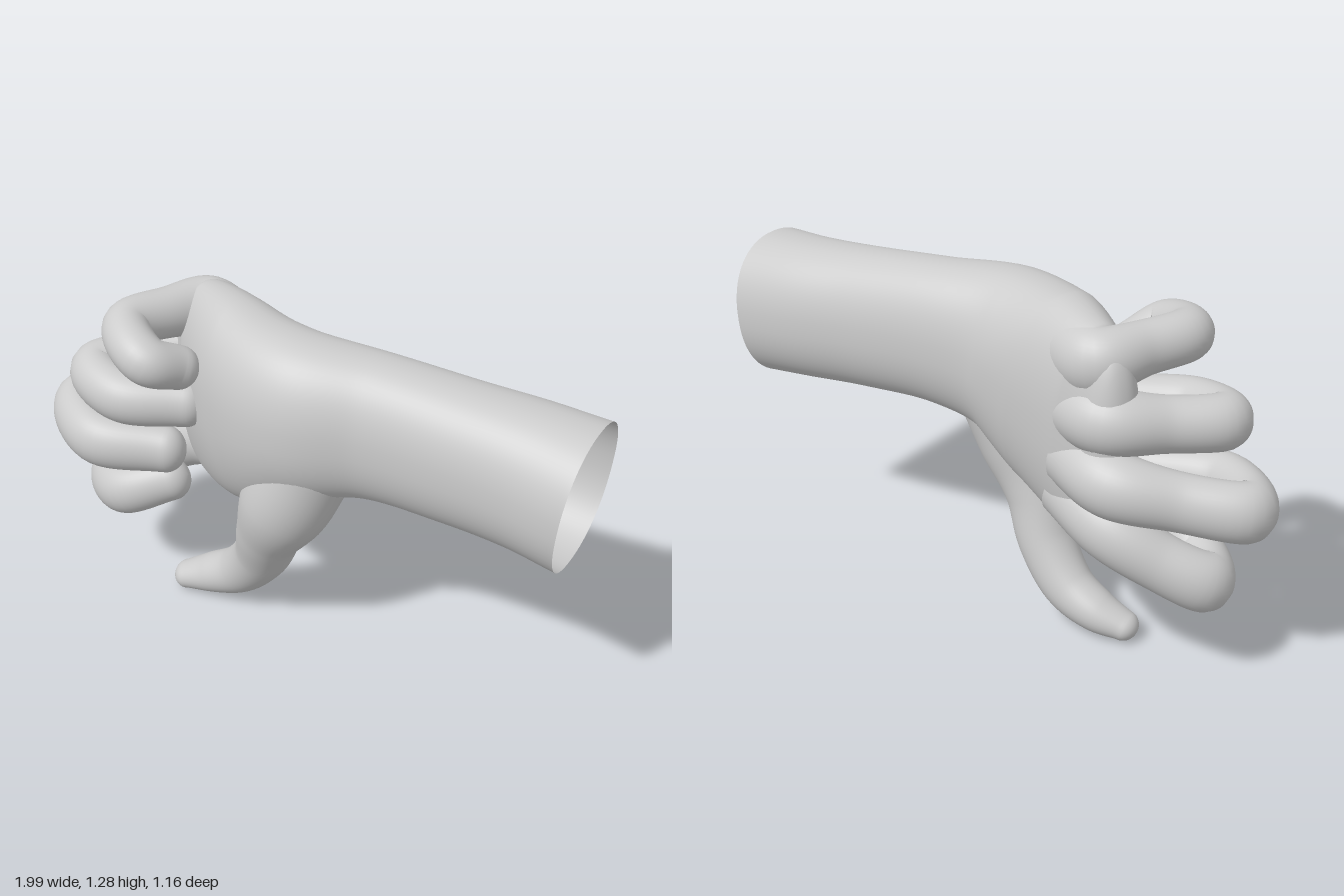
import * as THREE from 'three';

const material = new THREE.MeshStandardMaterial({ color: 0xcccccc, side: THREE.DoubleSide });

// Sweeps a rounded section along a smooth path and closes the far end with a dome.
// Each stop is [x, y, z, radius across, radius along ref]; squareness < 1 gives a boxier section.
function limb(name, stops, ref, { steps = 48, sides = 40, squareness = 1 } = {}) {
  const path = new THREE.CatmullRomCurve3(stops.map(s => new THREE.Vector3(s[0], s[1], s[2])));
  const size = new THREE.CatmullRomCurve3(
    stops.map(s => new THREE.Vector3(s[3], s[4], 0)), false, 'catmullrom', 0.5);
  const positions = [];
  const indices = [];
  const soften = v => Math.sign(v) * Math.abs(v) ** squareness;

  const addRing = (t, capAngle) => {
    const tangent = path.getTangent(t);
    const side = tangent.clone().cross(ref).normalize();
    const up = side.clone().cross(tangent);
    const radius = size.getPoint(t);
    const shrink = Math.cos(capAngle);
    const dome = Math.min(radius.x, radius.y) * Math.sin(capAngle);
    const centre = path.getPoint(t).addScaledVector(tangent, dome);
    for (let j = 0; j < sides; j++) {
      const a = (j / sides) * Math.PI * 2;
      const p = centre.clone()
        .addScaledVector(side, soften(Math.cos(a)) * radius.x * shrink)
        .addScaledVector(up, soften(Math.sin(a)) * radius.y * shrink);
      positions.push(p.x, p.y, p.z);
    }
  };

  const capRings = 8;
  for (let i = 0; i <= steps; i++) addRing(i / steps, 0);
  for (let k = 1; k <= capRings; k++) addRing(1, (k / capRings) * Math.PI * 0.499);

  for (let i = 0; i < steps + capRings; i++) {
    for (let j = 0; j < sides; j++) {
      const n = (j + 1) % sides;
      const a = i * sides + j, b = a + sides;
      const d = i * sides + n, c = d + sides;
      indices.push(a, b, d, b, c, d);
    }
  }

  const geometry = new THREE.BufferGeometry();
  geometry.setAttribute('position', new THREE.Float32BufferAttribute(positions, 3));
  geometry.setIndex(indices);
  geometry.computeVertexNormals();
  const mesh = new THREE.Mesh(geometry, material);
  mesh.name = name;
  return mesh;
}

export function createModel() {
  const hand = new THREE.Group();
  hand.name = 'hand';
  const up = new THREE.Vector3(0, 1, 0);
  const forward = new THREE.Vector3(0, 0, 1);

  // Open forearm flowing through the wrist into the palm
  hand.add(limb('forearmAndPalm', [
    [0.89, 0.915, 0.37, 0.228, 0.265],
    [0.72, 0.935, 0.285, 0.21, 0.258],
    [0.50, 0.957, 0.20, 0.192, 0.256],
    [0.20, 0.98, 0.09, 0.185, 0.266],
    [-0.05, 0.965, 0.01, 0.213, 0.31],
    [-0.22, 0.915, -0.13, 0.20, 0.38],
    [-0.37, 0.875, -0.32, 0.15, 0.395],
    [-0.44, 0.87, -0.40, 0.10, 0.35],
  ], up, { steps: 80, sides: 64, squareness: 0.9 }));

  // Curled fingers: inside the palm, knuckle, mid bone, middle joint, end joint, tip
  const fingers = {
    littleFinger: [
      [-0.28, 1.13, -0.26, 0.10, 0.12],
      [-0.40, 1.15, -0.37, 0.10, 0.115],
      [-0.53, 1.17, -0.29, 0.082, 0.092],
      [-0.655, 1.175, -0.17, 0.085, 0.088],
      [-0.57, 1.13, -0.025, 0.085, 0.085],
      [-0.47, 1.08, -0.07, 0.072, 0.078],
    ],
    ringFinger: [
      [-0.30, 0.96, -0.30, 0.11, 0.12],
      [-0.44, 0.97, -0.42, 0.11, 0.115],
      [-0.62, 0.95, -0.37, 0.09, 0.095],
      [-0.80, 0.935, -0.28, 0.09, 0.097],
      [-0.69, 0.91, -0.15, 0.09, 0.097],
      [-0.46, 0.90, -0.13, 0.075, 0.088],
    ],
    middleFinger: [
      [-0.32, 0.79, -0.33, 0.11, 0.12],
      [-0.47, 0.77, -0.47, 0.11, 0.115],
      [-0.68, 0.73, -0.47, 0.088, 0.10],
      [-0.905, 0.70, -0.435, 0.088, 0.105],
      [-0.81, 0.68, -0.23, 0.09, 0.105],
      [-0.55, 0.67, -0.18, 0.075, 0.09],
    ],
    indexFinger: [
      [-0.30, 0.64, -0.28, 0.11, 0.12],
      [-0.46, 0.58, -0.42, 0.11, 0.115],
      [-0.62, 0.49, -0.45, 0.092, 0.10],
      [-0.785, 0.41, -0.42, 0.09, 0.105],
      [-0.73, 0.43, -0.27, 0.088, 0.10],
      [-0.55, 0.50, -0.24, 0.075, 0.085],
    ],
  };
  for (const [name, stops] of Object.entries(fingers)) hand.add(limb(name, stops, up));

  // Thumb pointing down, its broad base buried in the heel of the palm
  hand.add(limb('thumb', [
    [-0.01, 0.82, 0.05, 0.17, 0.16],
    [-0.10, 0.61, 0.03, 0.165, 0.16],
    [-0.16, 0.45, -0.025, 0.125, 0.13],
    [-0.20, 0.29, -0.09, 0.105, 0.105],
    [-0.29, 0.155, -0.16, 0.092, 0.09],
    [-0.40, 0.095, -0.21, 0.075, 0.082],
    [-0.50, 0.062, -0.235, 0.052, 0.062],
  ], forward));

  return hand;
}
